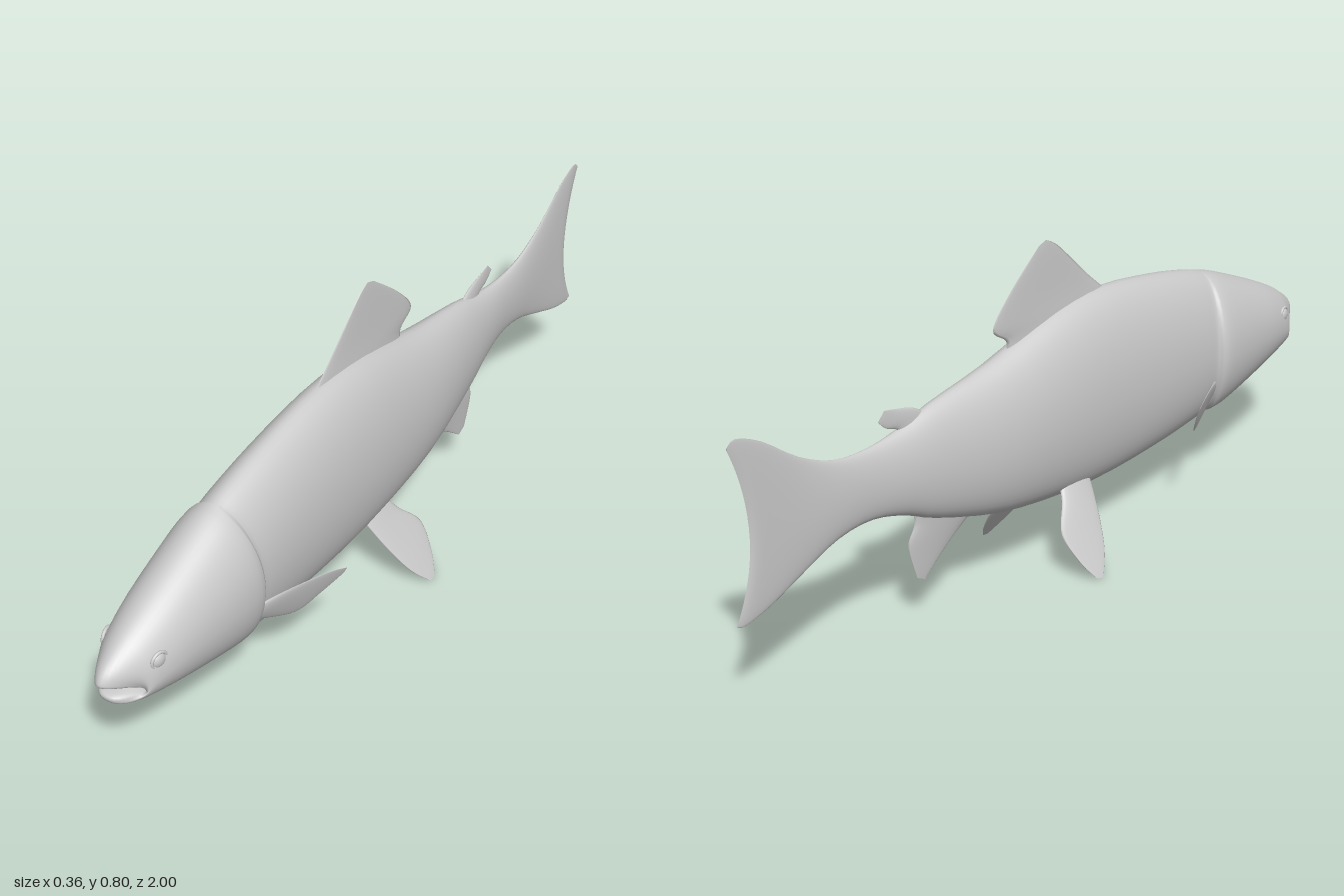
import * as THREE from 'three';

const material = new THREE.MeshStandardMaterial({ color: 0xcccccc, roughness: 0.8, side: THREE.DoubleSide });

// Catmull-Rom refinement of a list of section parameters
function refine(rows, steps) {
  const at = (i) => rows[Math.max(0, Math.min(rows.length - 1, i))];
  const out = [];
  for (let i = 0; i < rows.length - 1; i++) {
    for (let s = 0; s < steps; s++) {
      const t = s / steps;
      out.push(rows[i].map((b, k) => {
        const a = at(i - 1)[k], c = at(i + 1)[k], d = at(i + 2)[k];
        return b + 0.5 * t * (c - a + t * (2 * a - 5 * b + 4 * c - d + t * (3 * (b - c) + d - a)));
      }));
    }
  }
  out.push(rows[rows.length - 1]);
  return out;
}

// Smooth skin over closed rings of points, always facing outward
function loft(rings) {
  const n = rings[0].length, index = [], pts = rings.flat();
  for (let i = 0; i < rings.length - 1; i++) {
    for (let j = 0; j < n; j++) {
      const a = i * n + j, b = i * n + (j + 1) % n;
      index.push(a, b, a + n, b, b + n, a + n);
    }
  }
  const centre = new THREE.Vector3();
  rings[0].forEach((p) => centre.addScaledVector(p, 1 / n));
  let volume = 0;
  const [u, v, w] = [0, 1, 2].map(() => new THREE.Vector3());
  for (let i = 0; i < index.length; i += 3) {
    u.subVectors(pts[index[i]], centre);
    v.subVectors(pts[index[i + 1]], centre);
    w.subVectors(pts[index[i + 2]], centre);
    volume += u.dot(v.cross(w));
  }
  if (volume < 0) index.reverse();
  const g = new THREE.BufferGeometry().setFromPoints(pts);
  g.setIndex(index);
  g.computeVertexNormals();
  return g;
}

// Body ring: z, top, bottom, half width, height of widest point, sweep of the sides
function bodyRing([z, top, bottom, width, mid, sweep]) {
  const ring = [];
  for (let j = 0; j < 48; j++) {
    const a = (j / 48) * Math.PI * 2, c = Math.cos(a), s = Math.sin(a);
    const x = Math.sign(c) * Math.max(0, width) * Math.pow(Math.abs(c), s > 0 ? 1.08 : 0.78);
    const y = mid + (s > 0 ? (top - mid) * s : (mid - bottom) * s);
    const jaw = s < 0 && sweep > 0 ? 0.22 * sweep * s * s : 0;
    ring.push(new THREE.Vector3(x, y, z - sweep * c * c - jaw));
  }
  return ring;
}

// Fin rows run base to tip: leading z, y, trailing z, y; thickness tapers from the base to nothing
function fin(rows, thickness, xAt = () => 0, side = 1) {
  const fine = refine(rows, 5);
  return loft(fine.map(([lz, ly, tz, ty], i) => {
    const thick = thickness * (1 - i / (fine.length - 1));
    const ring = [];
    for (let j = 0; j < 20; j++) {
      const a = (j / 20) * Math.PI * 2, k = (1 + Math.cos(a)) / 2;
      const z = tz + (lz - tz) * k, y = ty + (ly - ty) * k;
      ring.push(new THREE.Vector3(side * (xAt(z, y) + thick * Math.sin(a)), y, z));
    }
    return ring;
  }));
}

export function createModel() {
  const group = new THREE.Group();
  const add = (name, geometry) => {
    const mesh = new THREE.Mesh(geometry, material);
    mesh.name = name;
    group.add(mesh);
    return mesh;
  };

  // Tail fin and trunk: z, top, bottom, half width; the tail's rear edge is hollowed by its sweep
  const trunk = [
    [-0.995, 0.62, 0.22, 0],
    [-0.97, 0.635, 0.214, 0.006],
    [-0.9, 0.606, 0.231, 0.009],
    [-0.8, 0.537, 0.272, 0.013],
    [-0.7, 0.495, 0.31, 0.019],
    [-0.6, 0.487, 0.318, 0.026],
    [-0.5, 0.5, 0.293, 0.04],
    [-0.4, 0.527, 0.25, 0.056],
    [-0.2, 0.562, 0.19, 0.083],
    [0.02, 0.62, 0.16, 0.096],
    [0.2, 0.633, 0.154, 0.099],
    [0.4, 0.609, 0.167, 0.1],
  ].map(([z, top, bottom, width]) =>
    [z, top, bottom, width, bottom + 0.46 * (top - bottom), 0.28 * Math.min(0, z + 0.82)]);

  // Gill step, head, then lips folding back into the mouth
  const head = [
    [0.53, 0.583, 0.182, 0.099, 0.365, 0.02],
    [0.585, 0.568, 0.19, 0.099, 0.36, 0.03],
    [0.598, 0.564, 0.193, 0.114, 0.36, 0.03],
    [0.65, 0.548, 0.202, 0.114, 0.36, 0.015],
    [0.8, 0.487, 0.24, 0.095, 0.35, 0],
    [0.9, 0.441, 0.268, 0.077, 0.335, 0.01],
    [0.95, 0.411, 0.283, 0.068, 0.324, 0.035],
    [0.983, 0.388, 0.294, 0.062, 0.315, 0.065],
    [0.998, 0.369, 0.305, 0.057, 0.308, 0.083],
    [0.999, 0.356, 0.317, 0.053, 0.303, 0.087],
    [0.975, 0.35, 0.322, 0.047, 0.304, 0.07],
    [0.9, 0.325, 0.325, 0.02, 0.325, 0],
  ];
  add('body', loft(refine([...trunk, ...head], 3).map(bodyRing)));

  // Fins on the centre line
  add('dorsalFin', fin([
    [0.24, 0.6, -0.15, 0.55],
    [0.2, 0.634, -0.145, 0.595],
    [0.14, 0.684, -0.19, 0.635],
    [0.04, 0.775, -0.13, 0.708],
    [-0.005, 0.8, -0.03, 0.791],
  ], 0.013));
  add('adiposeFin', fin([
    [-0.4, 0.5, -0.49, 0.465],
    [-0.455, 0.534, -0.505, 0.498],
    [-0.51, 0.549, -0.54, 0.513],
    [-0.545, 0.556, -0.565, 0.535],
  ], 0.01));
  add('analFin', fin([
    [-0.22, 0.24, -0.47, 0.31],
    [-0.29, 0.205, -0.46, 0.255],
    [-0.37, 0.153, -0.482, 0.205],
    [-0.43, 0.106, -0.455, 0.118],
  ], 0.016));

  // Paired fins and eyes, mirrored
  for (const [side, prefix] of [[1, 'left'], [-1, 'right']]) {
    add(prefix + 'PelvicFin', fin([
      [0.095, 0.22, -0.01, 0.21],
      [0.088, 0.185, -0.03, 0.17],
      [0.065, 0.115, -0.075, 0.115],
      [0.033, 0.05, -0.06, 0.05],
      [-0.01, 0.003, -0.03, 0.006],
    ], 0.014, (z, y) => 0.183 - 0.66 * y, side));

    add(prefix + 'PectoralFin', fin([
      [0.585, 0.29, 0.575, 0.255],
      [0.52, 0.309, 0.52, 0.23],
      [0.44, 0.318, 0.445, 0.206],
      [0.39, 0.316, 0.4, 0.243],
      [0.353, 0.305, 0.357, 0.288],
    ], 0.01, (z, y) => 0.085 + 0.455 * (0.555 - z) + 0.35 * (y - 0.29), side));

    const eye = add(prefix + 'Eye', new THREE.SphereGeometry(0.019, 24, 16));
    eye.scale.x = 0.6;
    eye.position.set(side * 0.066, 0.378, 0.883);
    eye.rotation.y = -side * 0.2;
    const rim = add(prefix + 'EyeRim', new THREE.TorusGeometry(0.02, 0.004, 10, 28));
    rim.position.set(side * 0.069, 0.378, 0.883);
    rim.rotation.y = side * (Math.PI / 2 - 0.2);
  }
  return group;
}
